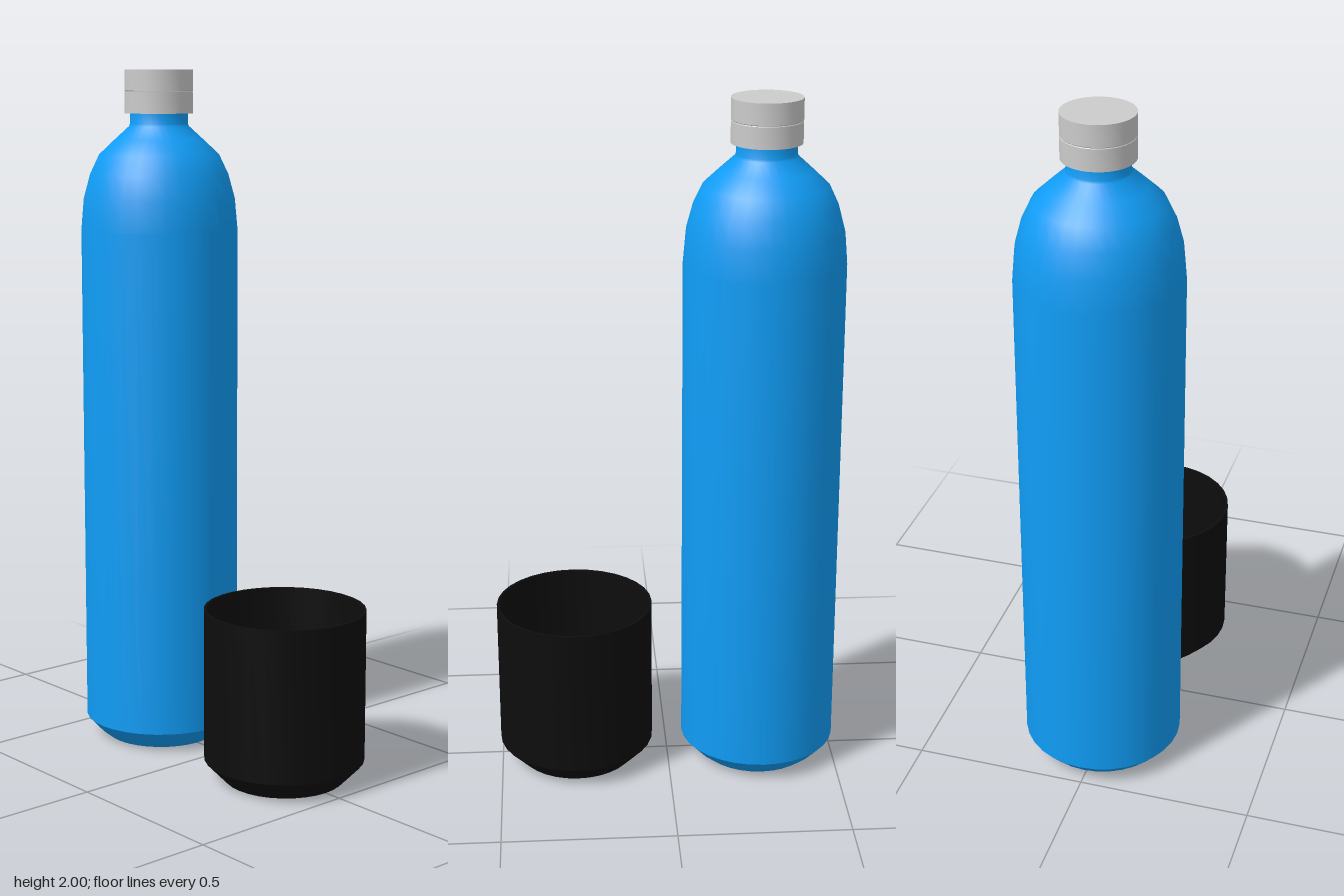
import * as THREE from 'three';
import { toCreasedNormals } from 'three/addons/utils/BufferGeometryUtils.js';

const SEGMENTS = 32;

// Turned part from [radius, height] pairs, listed from bottom to top
function turned(name, profile, color, crease, side = THREE.FrontSide) {
  const points = profile.map(([r, y]) => new THREE.Vector2(r, y));
  const geometry = toCreasedNormals(new THREE.LatheGeometry(points, SEGMENTS), crease);
  const mesh = new THREE.Mesh(geometry, new THREE.MeshStandardMaterial({ color, side }));
  mesh.name = name;
  return mesh;
}

export function createModel() {
  const model = new THREE.Group();
  model.name = 'flaskWithCup';

  const flask = new THREE.Group();
  flask.name = 'flask';
  flask.position.z = -0.275;
  model.add(flask);

  // Body with chamfered foot, domed shoulder and short neck
  flask.add(turned('body', [
    [0, 0], [0.168, 0], [0.195, 0.022], [0.23, 0.06], [0.23, 1.54],
    [0.222, 1.63], [0.203, 1.7], [0.176, 1.757], [0.13, 1.8],
    [0.088, 1.838], [0.085, 1.845], [0.085, 1.88],
  ], 0x109cf5, 0.6));

  // Stopper with a fine seam around its middle
  flask.add(turned('stopper', [
    [0, 1.875], [0.1, 1.875], [0.1, 1.936], [0.0985, 1.938],
    [0.1, 1.94], [0.1, 2], [0, 2],
  ], 0xcccccc, 0.5));

  // Open drinking cup: outside, rim, then inside
  const cup = turned('cup', [
    [0, 0], [0.172, 0], [0.23, 0.06], [0.23, 0.5],
    [0.222, 0.5], [0.222, 0.064], [0.168, 0.01], [0, 0.01],
  ], 0x0d0d0d, 0.5, THREE.DoubleSide);
  cup.position.z = 0.275;
  model.add(cup);

  return model;
}
